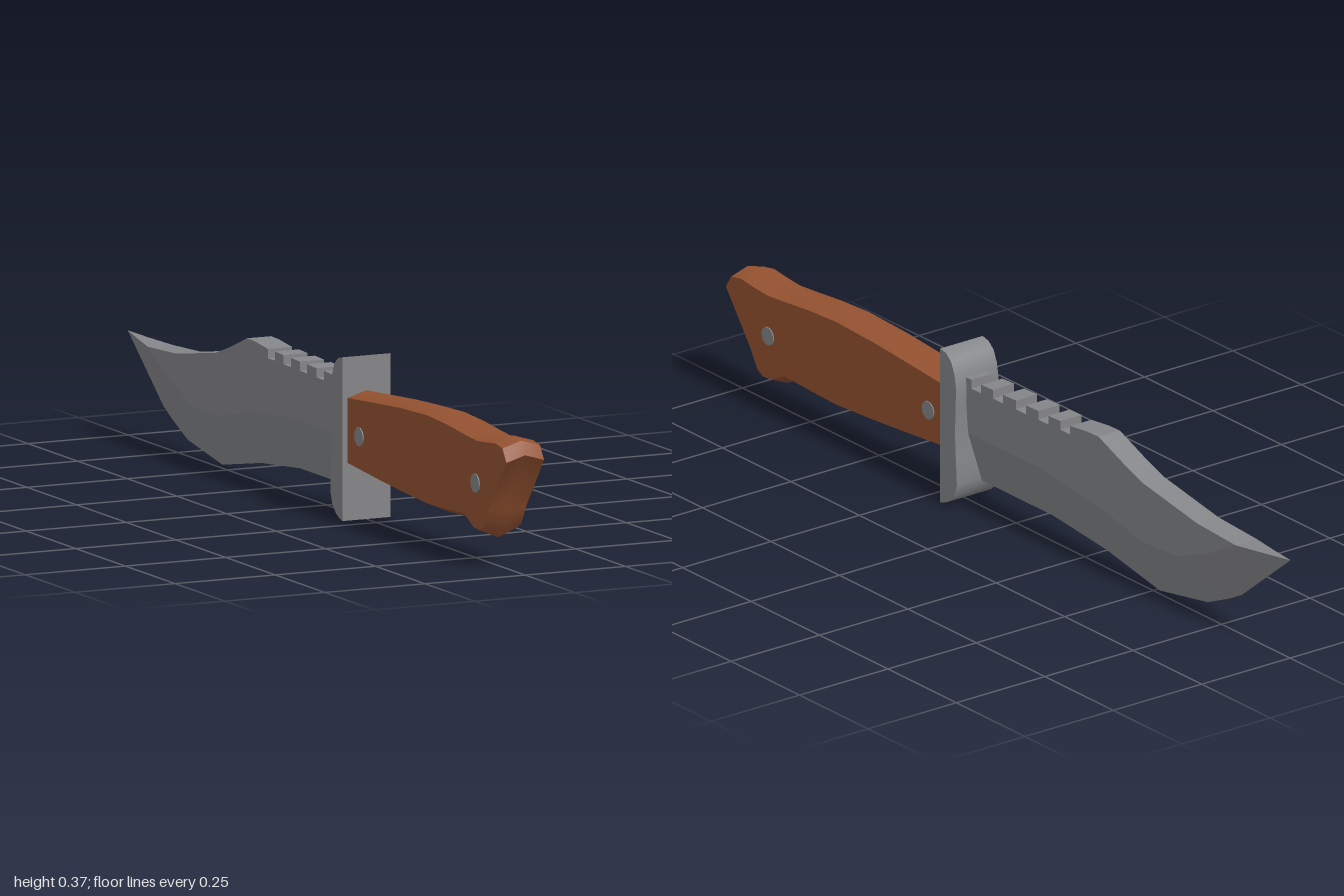
import * as THREE from 'three';
import { toCreasedNormals } from 'three/addons/utils/BufferGeometryUtils.js';

const wood = new THREE.MeshStandardMaterial({ name: 'brown wood', color: 0x945230 });
const steel = new THREE.MeshStandardMaterial({ name: 'grey steel', color: 0x858689 });

// Joins rings of [x, y, z] points, ordered towards +z and counterclockwise seen from +z.
function loft(rings, crease) {
  const n = rings[0].length, index = [];
  for (let r = 0; r < rings.length - 1; r++) {
    for (let i = 0; i < n; i++) {
      const j = (i + 1) % n;
      const a = r * n + i, b = r * n + j, c = b + n, d = a + n;
      index.push(a, b, c, a, c, d);
    }
  }
  const last = (rings.length - 1) * n;
  for (let i = 1; i < n - 1; i++) {
    index.push(0, i + 1, i, last, last + i, last + i + 1);
  }
  const geo = new THREE.BufferGeometry();
  geo.setAttribute('position', new THREE.Float32BufferAttribute(rings.flat(2), 3));
  geo.setIndex(index);
  return toCreasedNormals(geo, crease);
}

// Extrudes a side outline of [z, y] points across x, centred.
function slab(outline, width, crease) {
  const shape = new THREE.Shape(outline.map(([z, y]) => new THREE.Vector2(-z, y)));
  const geo = new THREE.ExtrudeGeometry(shape, { depth: width, bevelEnabled: false });
  geo.translate(0, 0, -width / 2).rotateY(Math.PI / 2);
  return toCreasedNormals(geo, crease);
}

export function createModel() {
  const model = new THREE.Group();
  model.name = 'knife';
  const add = (name, geo, material) => {
    const mesh = new THREE.Mesh(geo, material);
    mesh.name = name;
    model.add(mesh);
    return mesh;
  };

  // Handle: six-sided sections [zTop, yTop, zBottom, yBottom, bottom chamfer]
  const W = 0.047;
  const grip = [
    [0.19, 0.292, 0.19, 0.114, 0.018],
    [0.35, 0.304, 0.35, 0.1, 0.019],
    [0.46, 0.312, 0.46, 0.091, 0.02],
    [0.6, 0.317, 0.6, 0.083, 0.02],
    [0.7, 0.312, 0.7, 0.086, 0.02],
    [0.785, 0.304, 0.785, 0.09, 0.02],
    [0.85, 0.299, 0.835, 0.066, 0.02],
    [0.9, 0.303, 0.865, 0.064, 0.02],
    [0.945, 0.308, 0.885, 0.077, 0.018],
    [0.98, 0.302, 0.91, 0.13, 0.008],
    [1.0, 0.272, 0.935, 0.183, 0.0],
  ].map(([zt, yt, zb, yb, c]) => [
    [0, yt, zt], [-W, yt - 0.014, zt], [-W, yb + c, zb],
    [0, yb, zb], [W, yb + c, zb], [W, yt - 0.014, zt],
  ]);
  add('handle', loft(grip, 0.8), wood);

  // Rivets through the handle
  for (const [z, y] of [[0.845, 0.188], [0.26, 0.2]]) {
    const rivet = add('rivet', new THREE.CylinderGeometry(0.022, 0.022, 0.099, 10), steel);
    rivet.rotation.z = Math.PI / 2;
    rivet.position.set(0, y, z);
  }

  // Guard with rounded tips
  add('guard', slab([
    [0.2, 0], [0.188, 0.003], [0.168, 0.012], [0.15, 0.03], [0.139, 0.06],
    [0.143, 0.12], [0.146, 0.18], [0.144, 0.25], [0.142, 0.29], [0.148, 0.325],
    [0.16, 0.352], [0.178, 0.367], [0.2, 0.372],
  ], 0.12, 0.6), steel);

  // Blade body: flat sides between the notched spine and the bevel line
  const bevel = [[0.137, 0.18], [-0.135, 0.182], [-0.33, 0.16], [-0.5, 0.125],
    [-0.62, 0.13], [-0.74, 0.175], [-0.84, 0.228]];
  const edge = [[0.125, 0.062], [-0.135, 0.062], [-0.33, 0.043], [-0.525, 0.008],
    [-0.7, 0.037], [-0.78, 0.072], [-0.825, 0.096]];
  const spine = [[0.15, 0.312]];
  for (const z of [0.107, 0.028, -0.056, -0.138, -0.218]) {
    const top = 0.315 - 0.02 * z;
    spine.push([z + 0.018, top], [z + 0.018, top - 0.021],
      [z - 0.018, top - 0.021], [z - 0.018, top]);
  }
  spine.push([-0.3, 0.326], [-0.34, 0.327], [-0.43, 0.292], [-0.5, 0.268], [-0.7, 0.235]);
  add('bladeBody', slab([...spine, ...[...bevel].reverse()], 0.06, 0.3), steel);

  // Cutting edge: triangular sections from the tip back to the guard
  const section = (w, [zt, yt], [ze, ye]) => [[w, yt, zt], [-w, yt, zt], [0, ye, ze]];
  const cutting = [
    section(0.0005, [-1, 0.237], [-0.999, 0.235]),
    section(0.015, [-0.92, 0.232], [-0.925, 0.176]),
    ...bevel.map((b, i) => section(0.03, b, edge[i])).reverse(),
  ];
  add('cuttingEdge', loft(cutting, 0.4), steel);

  return model;
}
